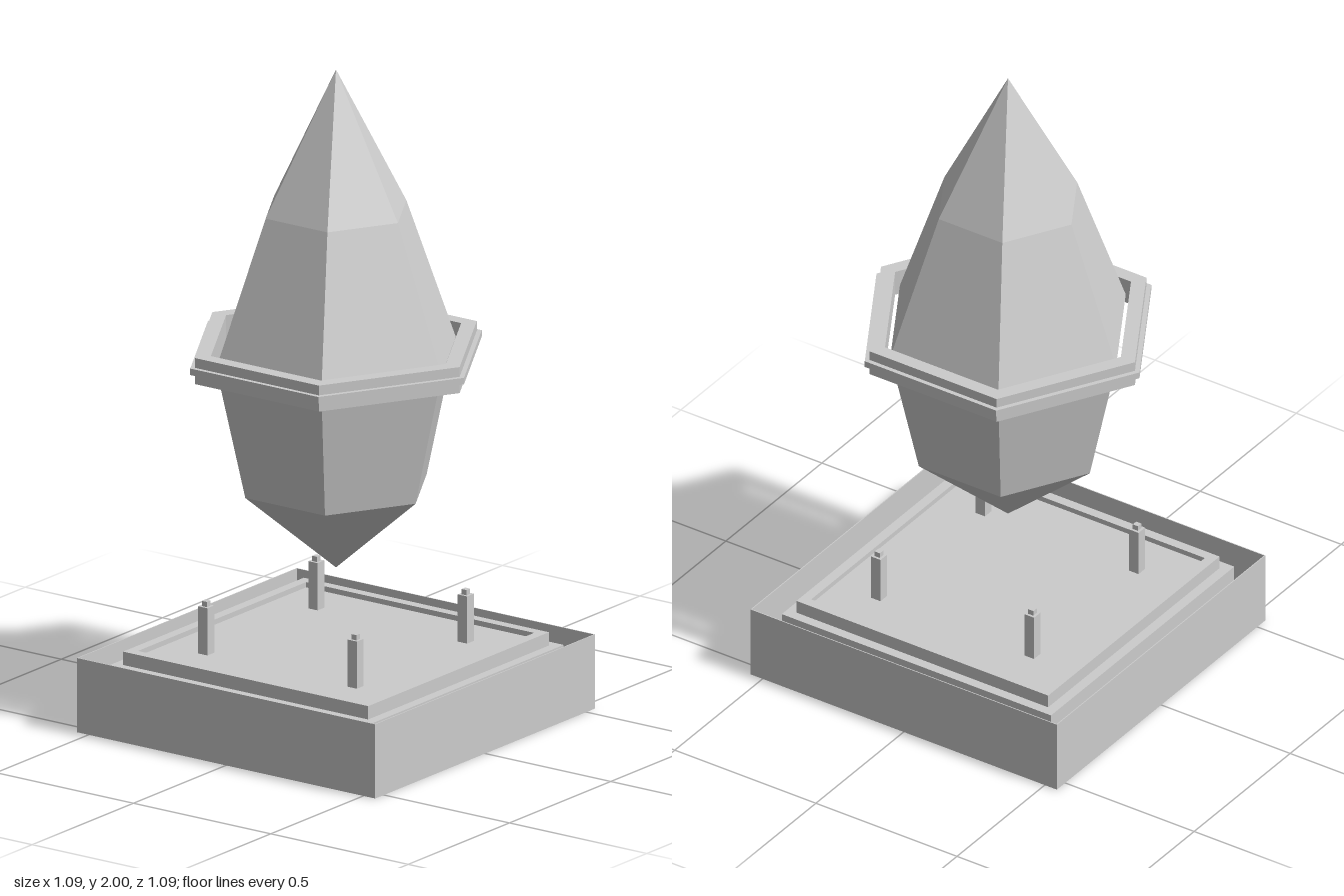
import * as THREE from 'three';

export function createModel() {
  const model = new THREE.Group();
  const grey = new THREE.MeshStandardMaterial({ color: 0xcccccc, flatShading: true, side: THREE.DoubleSide });
  grey.name = 'light grey';

  function add(geometry, name, x = 0, y = 0, z = 0, parent = model) {
    const mesh = new THREE.Mesh(geometry, grey);
    mesh.name = name;
    mesh.position.set(x, y, z);
    parent.add(mesh);
    return mesh;
  }

  // Outline of a regular polygon, first corner at the given angle
  function polygon(sides, radius, start) {
    return Array.from({ length: sides }, (_, i) => {
      const a = start + (i / sides) * Math.PI * 2;
      return new THREE.Vector2(Math.cos(a) * radius, Math.sin(a) * radius);
    });
  }

  // Flat polygonal frame lying level, from height y0 to y1
  function frame(name, sides, outer, inner, y0, y1, parent) {
    const start = sides === 4 ? Math.PI / 4 : Math.PI / 2;
    const shape = new THREE.Shape(polygon(sides, outer, start));
    shape.holes.push(new THREE.Path(polygon(sides, inner, start)));
    const geometry = new THREE.ExtrudeGeometry(shape, { depth: y1 - y0, bevelEnabled: false });
    geometry.rotateX(-Math.PI / 2);
    return add(geometry, name, 0, y0, 0, parent);
  }

  // Six-sided crystal with pointed ends, corners on the z axis
  const crystalProfile = [[0, 0.47], [0.29, 0.72], [0.383, 1.13], [0.225, 1.57], [0, 2]]
    .map(([r, y]) => new THREE.Vector2(r, y));
  add(new THREE.LatheGeometry(crystalProfile, 6), 'crystal');

  // Hexagonal collar floating around the crystal
  const collar = new THREE.Group();
  collar.name = 'collar';
  model.add(collar);
  frame('collarLowerBand', 6, 0.45, 0.4, 1.09, 1.12, collar);
  frame('collarMiddleBand', 6, 0.466, 0.4, 1.12, 1.14, collar);
  frame('collarUpperBand', 6, 0.45, 0.4, 1.14, 1.17, collar);

  // Open square tray: four thin walls and a floor
  const tray = new THREE.Group();
  tray.name = 'tray';
  model.add(tray);
  const H = 0.543, D = Math.SQRT2;
  frame('trayWalls', 4, H * D, (H - 0.003) * D, 0, 0.228, tray);
  add(new THREE.BoxGeometry(2 * H - 0.004, 0.02, 2 * H - 0.004), 'trayFloor', 0, 0.01, 0, tray);

  // Stepped plinth inside the tray with a raised border
  const plinth = new THREE.Group();
  plinth.name = 'plinth';
  model.add(plinth);
  add(new THREE.BoxGeometry(0.954, 0.18, 0.954), 'plinthStep', 0, 0.11, 0, plinth);
  add(new THREE.BoxGeometry(0.84, 0.025, 0.84), 'plinthTop', 0, 0.2125, 0, plinth);
  frame('plinthBorder', 4, 0.446 * D, 0.415 * D, 0.2, 0.241, plinth);

  // Four square posts with small caps
  for (const x of [-0.272, 0.272]) for (const z of [-0.272, 0.272]) {
    const post = new THREE.Group();
    post.name = 'post';
    post.position.set(x, 0, z);
    model.add(post);
    add(new THREE.BoxGeometry(0.034, 0.145, 0.034), 'postShaft', 0, 0.2975, 0, post);
    add(new THREE.BoxGeometry(0.018, 0.016, 0.018), 'postCap', 0, 0.378, 0, post);
  }
  return model;
}
